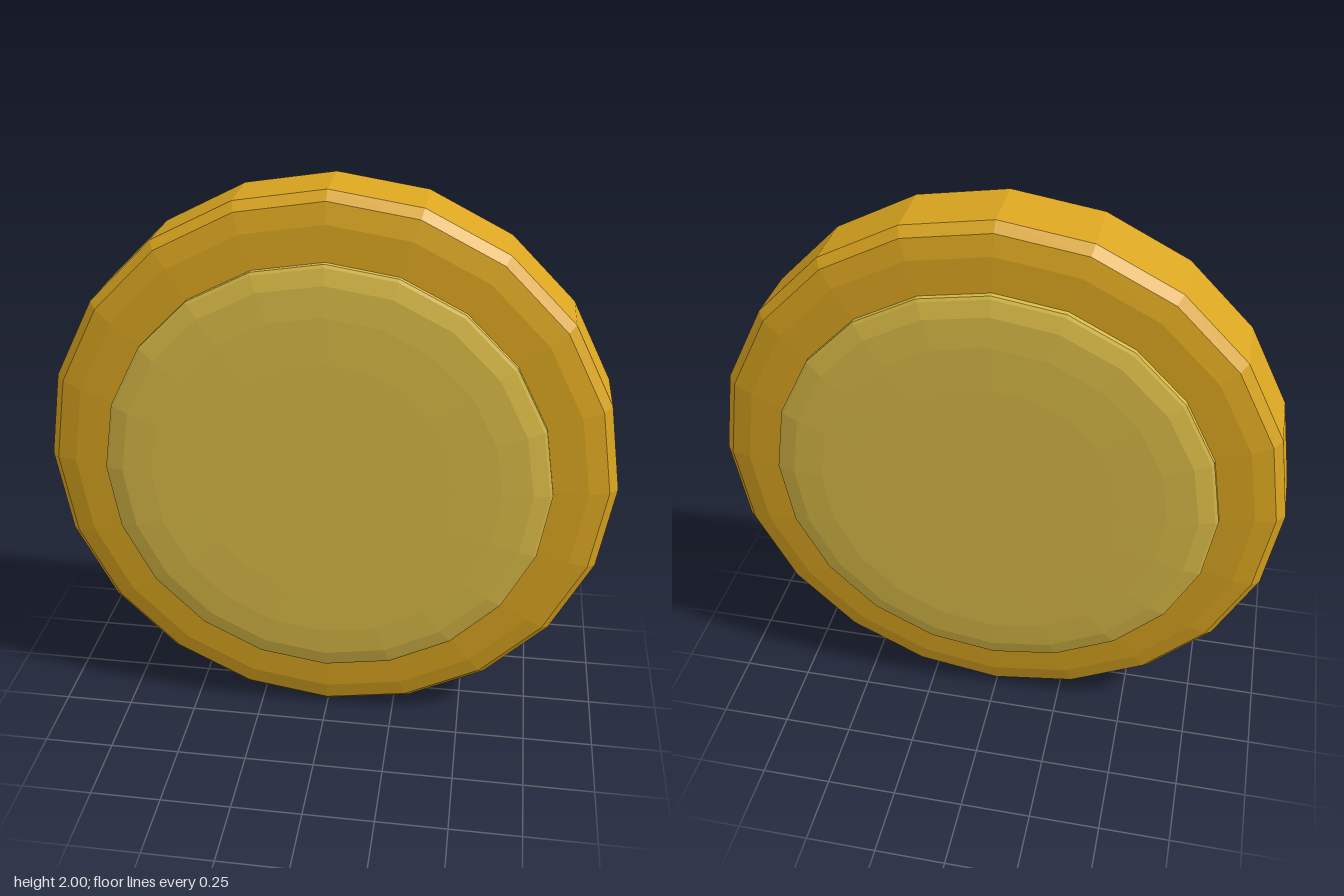
import * as THREE from 'three';

const SIDES = 20;

// Faceted solid of revolution around z, from [radius, depth] points
function turned(name, points, material) {
  const profile = points.map(([r, d]) => new THREE.Vector2(r, d));
  const geometry = new THREE.LatheGeometry(profile, SIDES).rotateX(Math.PI / 2);
  const mesh = new THREE.Mesh(geometry, material);
  mesh.name = name;
  return mesh;
}

export function createModel() {
  const gold = new THREE.MeshStandardMaterial({ color: 0xdaa520, flatShading: true });
  gold.name = 'gold';
  const paleGold = new THREE.MeshStandardMaterial({ color: 0xdabb47, flatShading: true });
  paleGold.name = 'pale gold';

  const coin = new THREE.Group();
  coin.name = 'coin';

  // Rim body: flat edge with a rounded shoulder on both sides
  const shoulder = [[1, 0.112], [0.97, 0.145], [0.9, 0.163], [0.77, 0.172], [0, 0.172]];
  const rimProfile = [
    ...shoulder.map(([r, d]) => [r, -d]).reverse(),
    ...shoulder,
  ];
  coin.add(turned('rim', rimProfile, gold));

  // Raised domed discs on the front and back
  const discProfile = [
    [0.78, 0.165], [0.78, 0.19], [0.77, 0.196], [0.715, 0.212], [0.61, 0.22], [0.45, 0.223], [0, 0.223],
  ];
  for (const side of ['front', 'back']) {
    const disc = turned(side + 'Disc', discProfile, paleGold);
    if (side === 'back') disc.rotation.y = Math.PI;
    coin.add(disc);
  }

  // Stand the coin on the ground
  coin.children.forEach((part) => { part.position.y = 1; });
  return coin;
}
